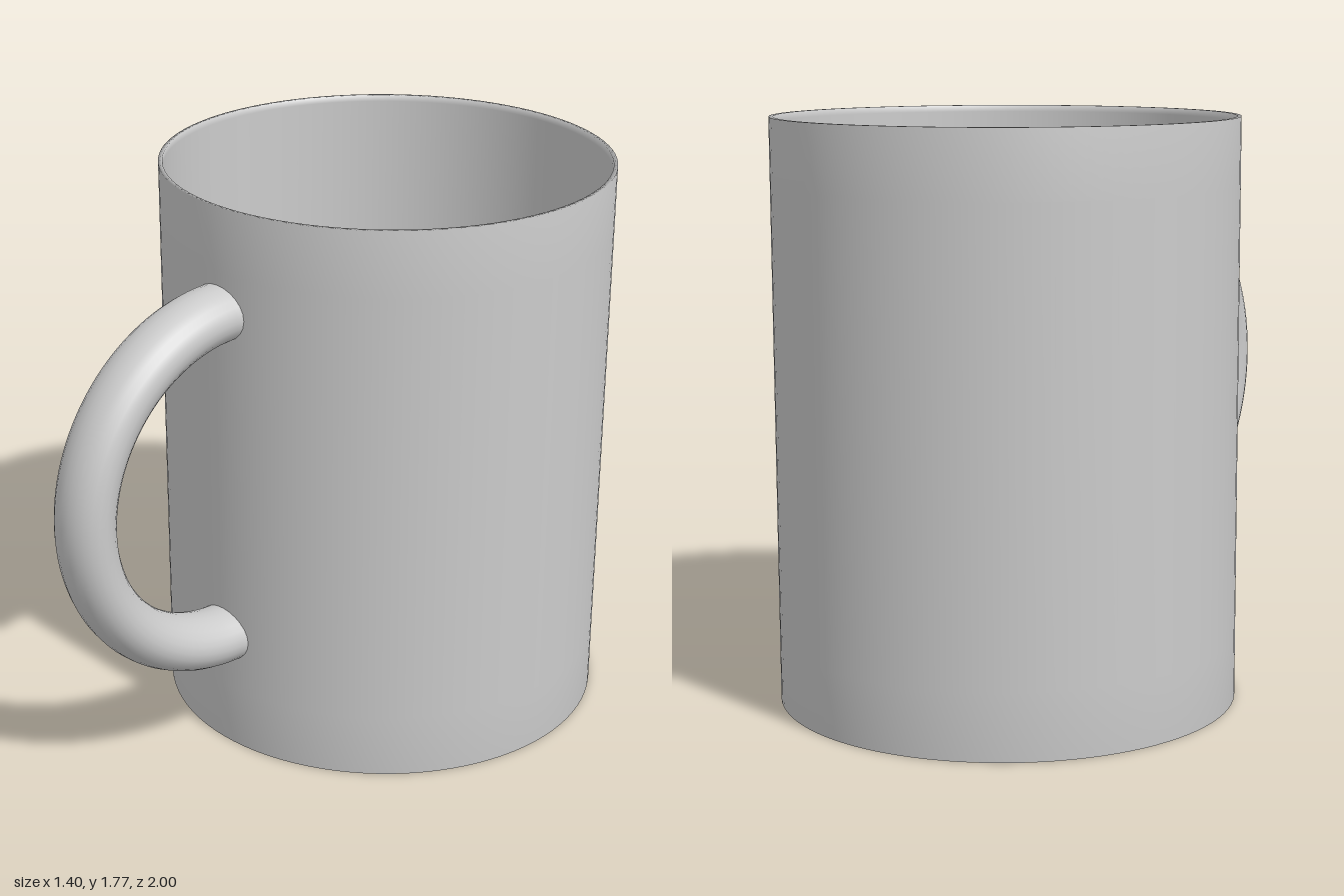
import * as THREE from 'three';
import { mergeVertices } from 'three/addons/utils/BufferGeometryUtils.js';

const HEIGHT = 1.77, OUTER = 0.7, INNER = 0.687, CUP_Z = -0.3, FLOOR = 0.02;

// Thin-walled cup; extra rings near the edges control the soft shading
function cupGeometry() {
  const profile = [
    [0, 0], [OUTER - 0.012, 0], [OUTER, 0], [OUTER, 0.2], [OUTER, HEIGHT - 0.2],
    [OUTER, HEIGHT], [INNER, HEIGHT], [INNER, HEIGHT - 0.02],
    [INNER, FLOOR + 0.02], [INNER, FLOOR], [INNER - 0.02, FLOOR], [0, FLOOR],
  ].map(([r, y]) => new THREE.Vector2(r, y));
  return new THREE.LatheGeometry(profile, 96);
}

// Half-ellipse tube, widened sideways, slanted in x, with its ends set into the wall
function handleGeometry() {
  const radius = 0.086, halfWidth = 0.107, midY = 0.912, rise = 0.533, startZ = 0.38, reach = 0.535;
  const points = [];
  for (let i = 0; i <= 24; i++) {
    const a = Math.PI / 2 - (i / 24) * Math.PI;
    points.push(new THREE.Vector3(0, midY + rise * Math.sin(a), startZ + reach * Math.cos(a)));
  }
  const geometry = new THREE.TubeGeometry(new THREE.CatmullRomCurve3(points), 64, radius, 24, false);
  geometry.deleteAttribute('uv');
  geometry.deleteAttribute('normal');
  const p = geometry.attributes.position;
  const wall = (OUTER + INNER) / 2;
  for (let i = 0; i < p.count; i++) {
    const x = p.getX(i) * (halfWidth / radius) + 0.052 + 0.08 * (p.getZ(i) - 0.4);
    const wallZ = CUP_Z + Math.sqrt(wall * wall - x * x);
    const isEnd = i < 25 || i >= p.count - 25;
    p.setX(i, x);
    p.setZ(i, isEnd ? wallZ : Math.max(p.getZ(i), wallZ));
  }
  const smooth = mergeVertices(geometry, 1e-5);
  smooth.computeVertexNormals();
  return smooth;
}

export function createModel() {
  const mug = new THREE.Group();
  mug.name = 'mug';
  const material = new THREE.MeshStandardMaterial({ color: 0xcccccc, side: THREE.DoubleSide });

  const cup = new THREE.Mesh(cupGeometry(), material);
  cup.name = 'cup';
  cup.position.z = CUP_Z;

  const handle = new THREE.Mesh(handleGeometry(), material);
  handle.name = 'handle';

  mug.add(cup, handle);
  return mug;
}
